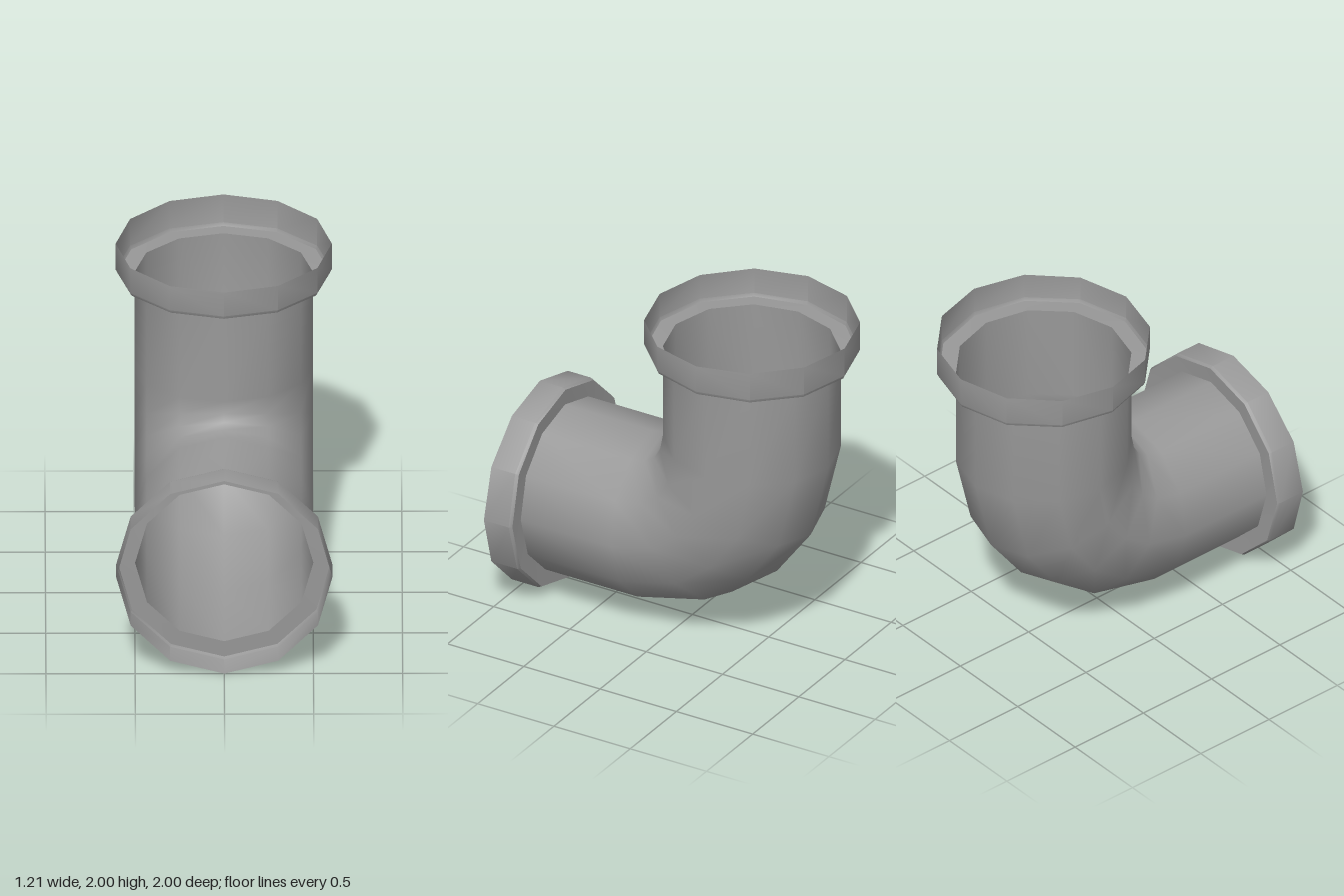
import * as THREE from 'three';
import { toCreasedNormals } from 'three/addons/utils/BufferGeometryUtils.js';

const SIDES = 12;

// Each ring is [outerZ, outerY, innerZ, innerY, halfWidth]: two opposite points
// in the bend's plane plus the half width across it.
const swap = ([oz, oy, iz, iy, w]) => [oy - 1, oz + 1, iy - 1, iz + 1, w];

// Open skin joining a sequence of rings
function loft(rings) {
  const positions = [];
  const index = [];
  rings.forEach(([oz, oy, iz, iy, w], r) => {
    const cz = (oz + iz) / 2;
    const cy = (oy + iy) / 2;
    for (let s = 0; s < SIDES; s++) {
      const a = (s / SIDES) * Math.PI * 2;
      const c = Math.cos(a);
      positions.push(w * Math.sin(a), cy + (oy - cy) * c, cz + (oz - cz) * c);
      if (r > 0) {
        const t = (s + 1) % SIDES;
        const p = (r - 1) * SIDES;
        const q = r * SIDES;
        index.push(p + s, p + t, q + s, p + t, q + t, q + s);
      }
    }
  });
  const geometry = new THREE.BufferGeometry();
  geometry.setAttribute('position', new THREE.Float32BufferAttribute(positions, 3));
  geometry.setIndex(index);
  geometry.computeVertexNormals();
  return geometry;
}

export function createModel() {
  const group = new THREE.Group();
  const material = new THREE.MeshStandardMaterial({ color: 0x999999, side: THREE.DoubleSide });
  const add = (name, geometry) => {
    const mesh = new THREE.Mesh(geometry, material);
    mesh.name = name;
    group.add(mesh);
  };

  // Elbow pipe: first half up to the diagonal, then its mirrored half
  const half = [
    [0.81, 0.11, 0.835, 1.11, 0.5],
    [0.205, 0.11, 0.26, 1.11, 0.5],
    [-0.26, 0.225, 0.19, 1.122, 0.5],
  ];
  const middle = [-0.555, 0.445, 0.147, 1.147, 0.5];
  add('elbowPipe', loft([...half, middle, ...half.map(swap).reverse()]));

  // Open socket collars: step, slightly eased corner, wall and rim
  const collar = [
    [0.81, 0.11, 0.835, 1.11, 0.5],
    [0.806, 0.012, 0.831, 1.206, 0.597],
    [0.825, 0.003, 0.85, 1.215, 0.606],
    [1, 0.003, 1, 1.215, 0.606],
  ];
  add('frontCollar', toCreasedNormals(loft(collar), 0.6));
  // Reversed order keeps the mirrored faces turned the same way
  add('topCollar', toCreasedNormals(loft(collar.map(swap).reverse()), 0.6));

  return group;
}
